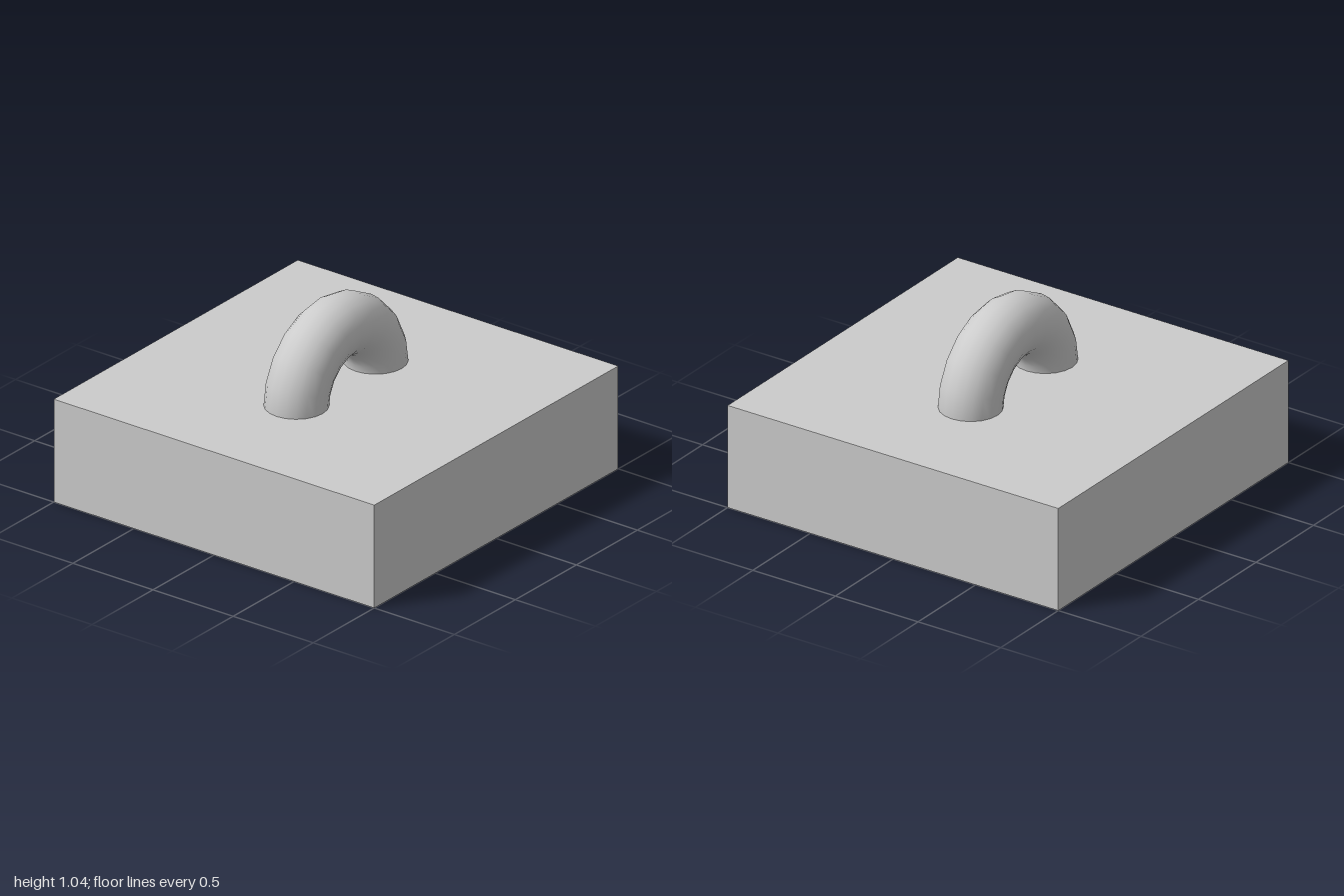
import * as THREE from 'three';

export function createModel() {
  const model = new THREE.Group();
  const material = new THREE.MeshStandardMaterial({ color: 0xcccccc });
  const baseHeight = 0.567;

  // Square slab
  const base = new THREE.Mesh(new THREE.BoxGeometry(2, baseHeight, 2), material);
  base.name = 'base';
  base.position.y = baseHeight / 2;

  // Half-ring handle running front to back, its ends sunk into the slab
  const handle = new THREE.Mesh(new THREE.TorusGeometry(0.327, 0.163, 20, 10, Math.PI), material);
  handle.name = 'handle';
  handle.rotation.y = Math.PI / 2;
  handle.position.y = 0.55;

  model.add(base, handle);
  return model;
}
